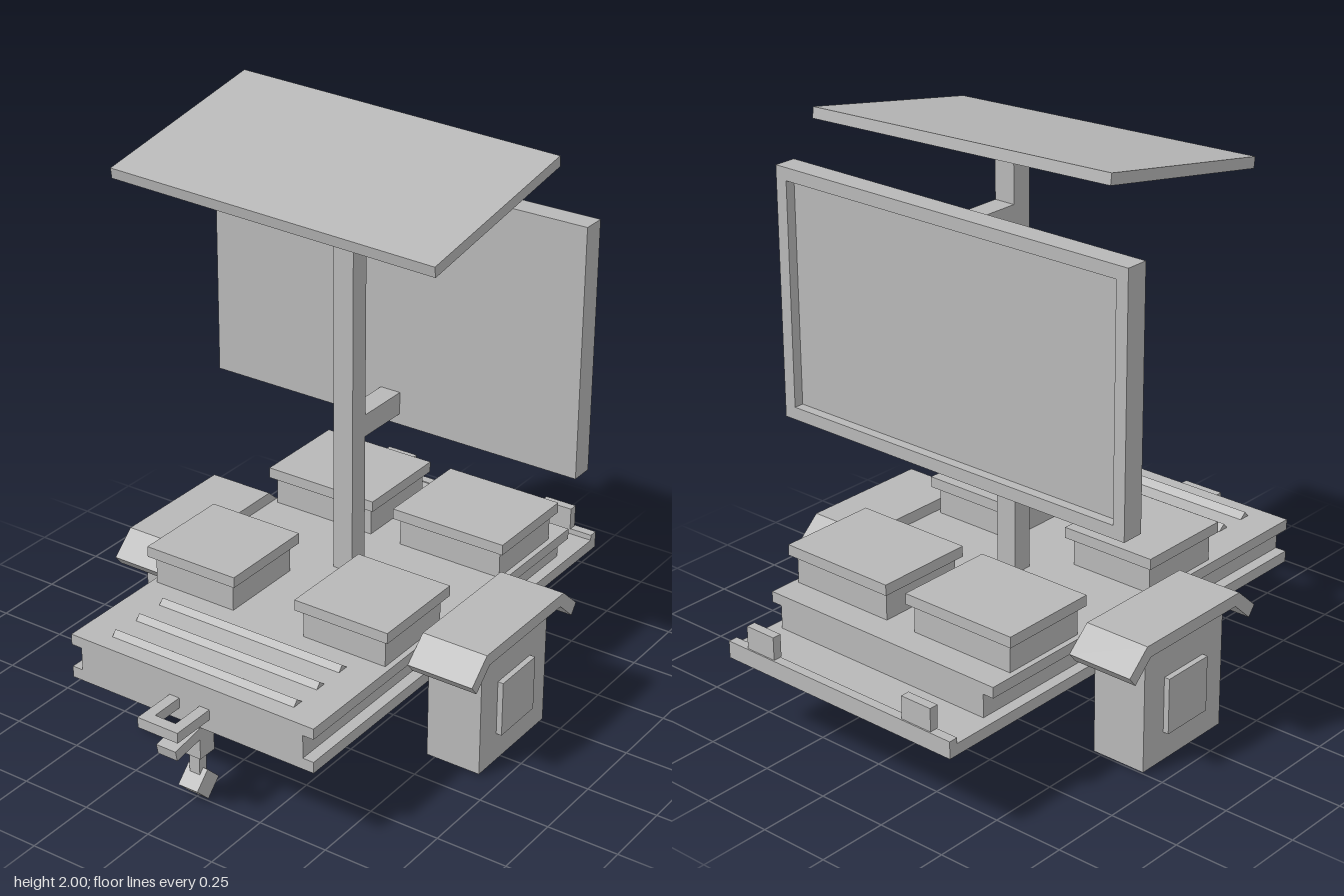
import * as THREE from 'three';

export function createModel() {
  const root = new THREE.Group();
  const grey = new THREE.MeshStandardMaterial({ color: 0xb8b8b8 });
  grey.name = 'plain grey';

  const add = (name, geometry) => {
    const mesh = new THREE.Mesh(geometry, grey);
    mesh.name = name;
    root.add(mesh);
    return mesh;
  };
  // Box given by its limits on each axis
  const box = (name, x0, x1, y0, y1, z0, z1) => {
    const mesh = add(name, new THREE.BoxGeometry(x1 - x0, y1 - y0, z1 - z0));
    mesh.position.set((x0 + x1) / 2, (y0 + y1) / 2, (z0 + z1) / 2);
    return mesh;
  };
  // Box on one side, s = 1 for left and -1 for right
  const sideBox = (s, name, x0, x1, ...rest) =>
    s > 0 ? box(name, x0, x1, ...rest) : box(name, -x1, -x0, ...rest);
  // Profile of [z, y] points extruded along x
  const prism = (name, points, x0, x1) => {
    const shape = new THREE.Shape(points.map(([z, y]) => new THREE.Vector2(-z, y)));
    const geometry = new THREE.ExtrudeGeometry(shape, { depth: x1 - x0, bevelEnabled: false });
    geometry.rotateY(Math.PI / 2).translate(x0, 0, 0);
    return add(name, geometry);
  };

  // Grooved chassis with a longer bottom plate
  box('bottomPlate', -0.475, 0.475, 0.29, 0.33, -0.93, 0.775);
  box('chassisCore', -0.435, 0.435, 0.33, 0.412, -0.735, 0.775);
  box('deckPlate', -0.475, 0.475, 0.412, 0.45, -0.735, 0.775);
  box('rearRail', -0.475, 0.475, 0.33, 0.35, -0.93, -0.897);

  // Ridges across the front deck
  for (const z of [0.43, 0.55, 0.67])
    prism('deckRidge', [[z, 0.45], [z + 0.025, 0.47], [z + 0.042, 0.45]], -0.357, 0.357);

  for (const s of [1, -1]) {
    sideBox(s, 'rearClip', 0.275, 0.393, 0.35, 0.43, -0.925, -0.893);

    // Lidded equipment boxes
    sideBox(s, 'frontCase', 0.14, 0.455, 0.45, 0.55, 0.045, 0.36);
    sideBox(s, 'frontLid', 0.12, 0.475, 0.55, 0.588, 0.022, 0.38);
    sideBox(s, 'rearCase', 0.06, 0.455, 0.45, 0.55, -0.635, -0.315);
    sideBox(s, 'rearLid', 0.042, 0.475, 0.55, 0.588, -0.655, -0.297);

    // Side pods with a raised hatch
    sideBox(s, 'sidePod', 0.477, 0.677, 0.01, 0.45, -0.255, 0.142);
    sideBox(s, 'podHatch', 0.677, 0.697, 0.112, 0.31, -0.155, 0.042);

    // Folded fender over each pod
    const half = [[0.235, 0.49], [0.32, 0.413], [0.292, 0.378], [0.217, 0.447]];
    const mirrored = half.map(([z, y]) => [-z, y]).reverse();
    const fender = [...half, ...mirrored].map(([z, y]) => [z - 0.058, y]);
    prism('fender', fender, s > 0 ? 0.475 : -0.715, s > 0 ? 0.715 : -0.475);
  }

  // Mast and screen brackets
  box('mast', -0.038, 0.038, 0.45, 1.895, -0.133, -0.06);
  for (const y of [0.93, 1.643])
    box('screenBracket', -0.038, 0.038, y, y + 0.079, -0.337, -0.133);

  // Rear-facing screen, recessed inside its frame
  const rectangle = (x, y, Type) => new Type([[-x, -y], [x, -y], [x, y], [-x, y]]
    .map(([a, b]) => new THREE.Vector2(a, b)));
  const frame = rectangle(0.714, 0.434, THREE.Shape);
  frame.holes.push(rectangle(0.67, 0.39, THREE.Path));
  add('screenFrame', new THREE.ExtrudeGeometry(frame, { depth: 0.08, bevelEnabled: false }))
    .position.set(0, 1.325, -0.415);
  box('screen', -0.67, 0.67, 0.935, 1.715, -0.38, -0.335);

  // Tilted roof panel
  const roof = add('roofPanel', new THREE.BoxGeometry(1.193, 0.037, 0.705));
  roof.position.set(0, 1.9, -0.008);
  roof.rotation.set(0.175, 0, -0.034);

  // Front loop
  for (const s of [1, -1])
    sideBox(s, 'loopArm', 0.04, 0.078, 0.333, 0.37, 0.775, 0.935);
  box('loopBar', -0.04, 0.04, 0.333, 0.37, 0.895, 0.935);

  // Sensor hanging under the nose
  box('sensorMount', -0.038, 0.038, 0.17, 0.29, 0.703, 0.775);
  prism('sensorArm', [[0.765, 0.245], [0.775, 0.285], [0.898, 0.265], [0.89, 0.228]], -0.038, 0.038);
  box('sensorStem', -0.02, 0.02, 0.09, 0.17, 0.722, 0.758);
  const sensor = add('sensorHead', new THREE.BoxGeometry(0.076, 0.079, 0.079));
  sensor.position.set(0, 0.057, 0.74);
  sensor.rotation.x = Math.PI / 4;

  return root;
}
